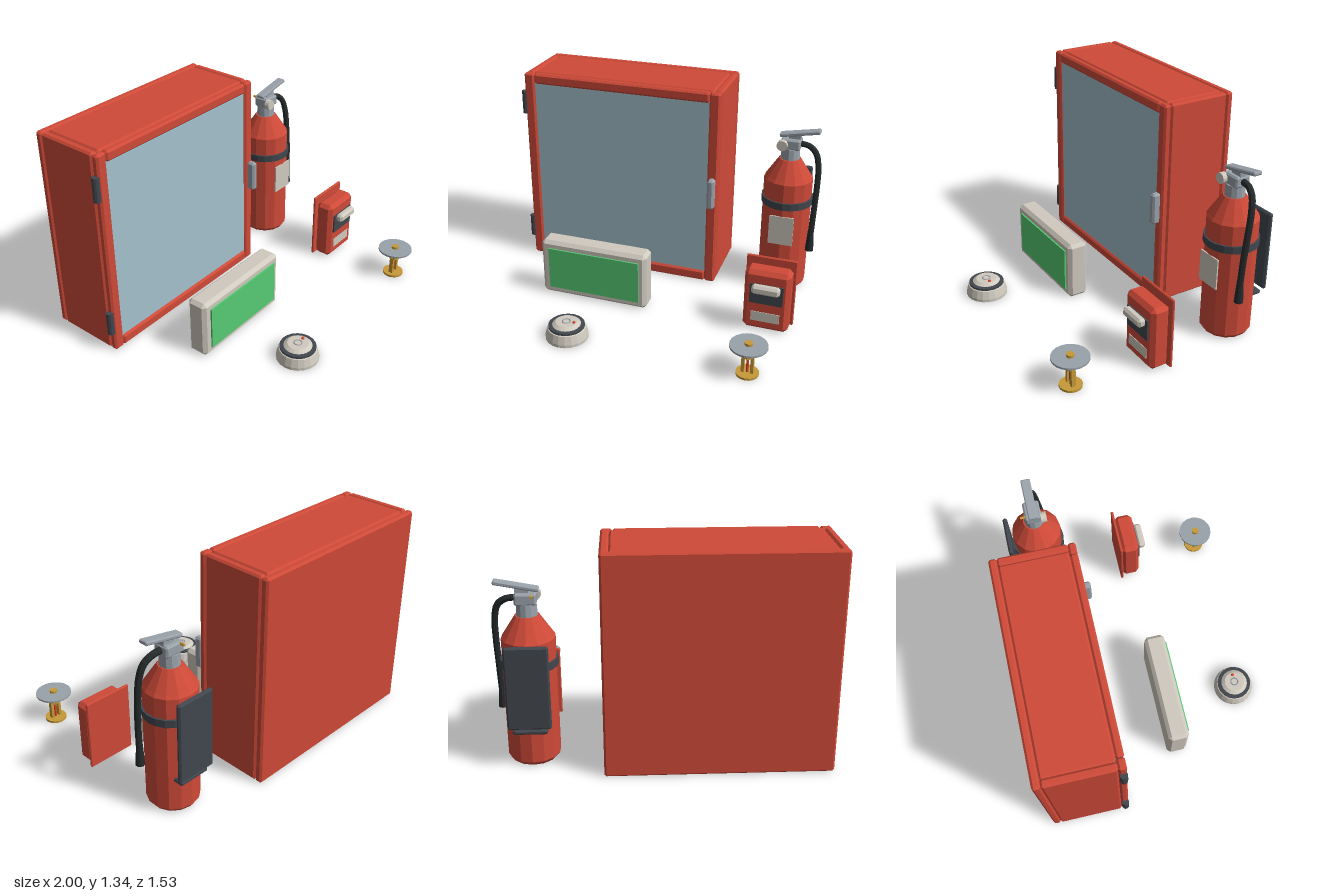
import * as THREE from 'three';
import { ConvexGeometry } from 'three/addons/geometries/ConvexGeometry.js';

const mat = (name, color) => {
  const m = new THREE.MeshStandardMaterial({ color, flatShading: true });
  m.name = name;
  return m;
};

// Box with flat chamfered edges
function chamferBox(w, h, d, c) {
  const [x, y, z] = [w / 2, h / 2, d / 2];
  const pts = [];
  for (const i of [-1, 1]) for (const j of [-1, 1]) for (const k of [-1, 1]) {
    pts.push(
      new THREE.Vector3(i * x, j * (y - c), k * (z - c)),
      new THREE.Vector3(i * (x - c), j * y, k * (z - c)),
      new THREE.Vector3(i * (x - c), j * (y - c), k * z));
  }
  return new ConvexGeometry(pts);
}

export function createModel() {
  const root = new THREE.Group();
  root.name = 'fireSafetySet';
  const red = mat('safetyRed', 0xcf4a38);
  const glass = mat('glassBlue', 0xa3c1cc);
  const cream = mat('warmWhite', 0xd0cabf);
  const green = mat('signGreen', 0x56cc74);
  const dark = mat('darkGrey', 0x41474e);
  const black = mat('hoseBlack', 0x262b2c);
  const metal = mat('metalGrey', 0x9aa2aa);
  const brass = mat('brass', 0xc79a38);
  const alert = mat('alertRed', 0xe0452c);

  const group = (name, x = 0, z = 0) => {
    const g = new THREE.Group();
    g.name = name;
    g.position.set(x, 0, z);
    root.add(g);
    return g;
  };
  const add = (parent, name, geo, material, x = 0, y = 0, z = 0) => {
    const m = new THREE.Mesh(geo, material);
    m.name = name;
    m.position.set(x, y, z);
    parent.add(m);
    return m;
  };
  // Box given by its limits on each axis; c is the chamfer
  const box = (parent, name, material, [x0, x1], [y0, y1], [z0, z1], c = 0) => {
    const s = [x1 - x0, y1 - y0, z1 - z0];
    const geo = c ? chamferBox(...s, c) : new THREE.BoxGeometry(...s);
    return add(parent, name, geo, material, (x0 + x1) / 2, (y0 + y1) / 2, (z0 + z1) / 2);
  };
  const lathe = (parent, name, material, profile, sides) =>
    add(parent, name, new THREE.LatheGeometry(profile.map(p => new THREE.Vector2(...p)), sides), material);
  const cyl = (parent, name, material, rTop, rBottom, h, sides, x, y, z) =>
    add(parent, name, new THREE.CylinderGeometry(rTop, rBottom, h, sides), material, x, y, z);

  // Cabinet shell
  const cab = group('cabinet');
  const c = 0.012;
  box(cab, 'backPanel', red, [-0.97, 0.365], [0, 1.34], [-0.77, -0.722], c);
  for (const [x0, x1] of [[-0.97, -0.92], [0.315, 0.365]])
    box(cab, 'sideWall', red, [x0, x1], [0, 1.34], [-0.722, -0.312], c);
  for (const [y0, y1] of [[0, 0.05], [1.29, 1.34]])
    box(cab, 'topOrBottomWall', red, [-0.92, 0.315], [y0, y1], [-0.722, -0.312], c);

  // Cabinet door
  for (const [x0, x1] of [[-0.97, -0.9], [0.295, 0.365]])
    box(cab, 'doorStile', red, [x0, x1], [0, 1.34], [-0.312, -0.265], c);
  for (const [y0, y1] of [[0, 0.072], [1.272, 1.34]])
    box(cab, 'doorRail', red, [-0.9, 0.295], [y0, y1], [-0.312, -0.265], c);
  box(cab, 'doorGlass', glass, [-0.905, 0.3], [0.065, 1.28], [-0.297, -0.28]);
  box(cab, 'doorHandle', metal, [0.31, 0.355], [0.57, 0.775], [-0.268, -0.21], 0.012);
  for (const y of [0.21, 1.135]) cyl(cab, 'hinge', dark, 0.023, 0.023, 0.155, 10, -0.977, y, -0.286);

  // Exit sign
  const sign = group('exitSign');
  box(sign, 'signHousing', cream, [-0.68, 0.04], [0, 0.385], [0.07, 0.205], 0.022);
  box(sign, 'signPanel', green, [-0.625, -0.007], [0.05, 0.335], [0.2, 0.215]);

  // Smoke detector
  const det = group('smokeDetector', -0.32, 0.63);
  lathe(det, 'detectorBase', cream,
    [[0, 0], [0.132, 0], [0.132, 0.018], [0.118, 0.07], [0.105, 0.078], [0, 0.078]], 20);
  lathe(det, 'detectorVent', dark, [[0.112, 0.074], [0.112, 0.086], [0.08, 0.09], [0, 0.09]], 20);
  lathe(det, 'detectorDome', cream, [[0.09, 0.084], [0.088, 0.09], [0.066, 0.106], [0, 0.106]], 20);
  const ring = add(det, 'testButtonRing', new THREE.TorusGeometry(0.024, 0.004, 6, 16), metal, 0, 0.106, 0);
  ring.rotation.x = Math.PI / 2;
  add(det, 'indicatorLight', new THREE.SphereGeometry(0.011, 8, 6), alert, 0.05, 0.106, 0);

  // Sprinkler head
  const spr = group('sprinkler', 0.81, 0.635);
  lathe(spr, 'sprinklerBase', brass, [[0, 0], [0.068, 0], [0.068, 0.014], [0, 0.014]], 16);
  for (const s of [-1, 1]) {
    box(spr, 'frameArm', brass, s < 0 ? [-0.036, -0.018] : [0.018, 0.036], [0.01, 0.13], [-0.013, 0.013]);
  }
  cyl(spr, 'glassBulb', alert, 0.008, 0.008, 0.11, 8, 0, 0.068, 0);
  cyl(spr, 'frameNut', brass, 0.036, 0.036, 0.045, 6, 0, 0.142, 0);
  lathe(spr, 'deflectorDish', metal,
    [[0, 0.162], [0.065, 0.162], [0.112, 0.188], [0.112, 0.2], [0, 0.2]], 20);
  cyl(spr, 'deflectorCap', brass, 0.024, 0.024, 0.018, 10, 0, 0.207, 0);

  // Pull station
  const pull = group('pullStation');
  box(pull, 'wallPlate', red, [0.655, 0.968], [0, 0.455], [0.052, 0.07], 0.005);
  box(pull, 'stationBody', red, [0.67, 0.952], [0.005, 0.415], [0.068, 0.19], 0.025);
  box(pull, 'handleRecess', dark, [0.708, 0.914], [0.2, 0.332], [0.185, 0.2]);
  box(pull, 'pullHandle', cream, [0.725, 0.898], [0.285, 0.342], [0.195, 0.247], 0.014);
  box(pull, 'stationLabel', cream, [0.722, 0.9], [0.07, 0.135], [0.188, 0.194]);

  // Extinguisher bottle, centred on its own axis
  const ext = group('extinguisher', 0.786, -0.473);
  lathe(ext, 'bottle', red, [[0, 0], [0.138, 0], [0.157, 0.025], [0.157, 0.765], [0.143, 0.785],
    [0.14, 0.79], [0.07, 0.898], [0, 0.898]], 14);
  cyl(ext, 'strap', dark, 0.167, 0.167, 0.047, 20, 0, 0.618, 0);
  box(ext, 'bottleLabel', cream, [-0.08, 0.08], [0.345, 0.545], [0.15, 0.159]);

  // Wall bracket
  box(ext, 'bracketPlate', dark, [-0.126, 0.126], [0.265, 0.775], [-0.202, -0.172], 0.01);
  box(ext, 'bracketFoot', dark, [-0.1, 0.1], [0.222, 0.25], [-0.182, -0.112], 0.008);
  box(ext, 'bracketClip', dark, [-0.04, 0.04], [0.595, 0.642], [-0.18, -0.15]);

  // Valve, gauge, pin and levers
  cyl(ext, 'neck', metal, 0.058, 0.062, 0.08, 12, 0, 0.93, 0);
  box(ext, 'valveBody', metal, [-0.06, 0.065], [0.965, 1.035], [-0.052, 0.052], 0.01);
  box(ext, 'leverPost', metal, [-0.015, 0.06], [1.03, 1.068], [-0.022, 0.022]);
  const lever = add(ext, 'lever', chamferBox(0.258, 0.024, 0.06, 0.006), metal, 0.054, 1.073, 0);
  lever.rotation.z = 0.19;
  const gauge = cyl(ext, 'gauge', cream, 0.034, 0.034, 0.035, 14, -0.045, 1, 0.064);
  gauge.rotation.x = Math.PI / 2;
  const pin = cyl(ext, 'safetyPin', brass, 0.008, 0.008, 0.15, 8, -0.035, 1.024, -0.004);
  pin.rotation.x = Math.PI / 2;

  // Hose and nozzle
  const path = new THREE.CatmullRomCurve3([[0.06, 1.002, 0.0], [0.115, 0.995, 0.004], [0.165, 0.955, 0.018],
    [0.188, 0.87, 0.033], [0.192, 0.75, 0.046], [0.188, 0.58, 0.06], [0.182, 0.4, 0.066]]
    .map(p => new THREE.Vector3(...p)));
  add(ext, 'hose', new THREE.TubeGeometry(path, 24, 0.02, 8), black);
  cyl(ext, 'nozzle', black, 0.019, 0.028, 0.14, 10, 0.181, 0.36, 0.065);

  return root;
}
